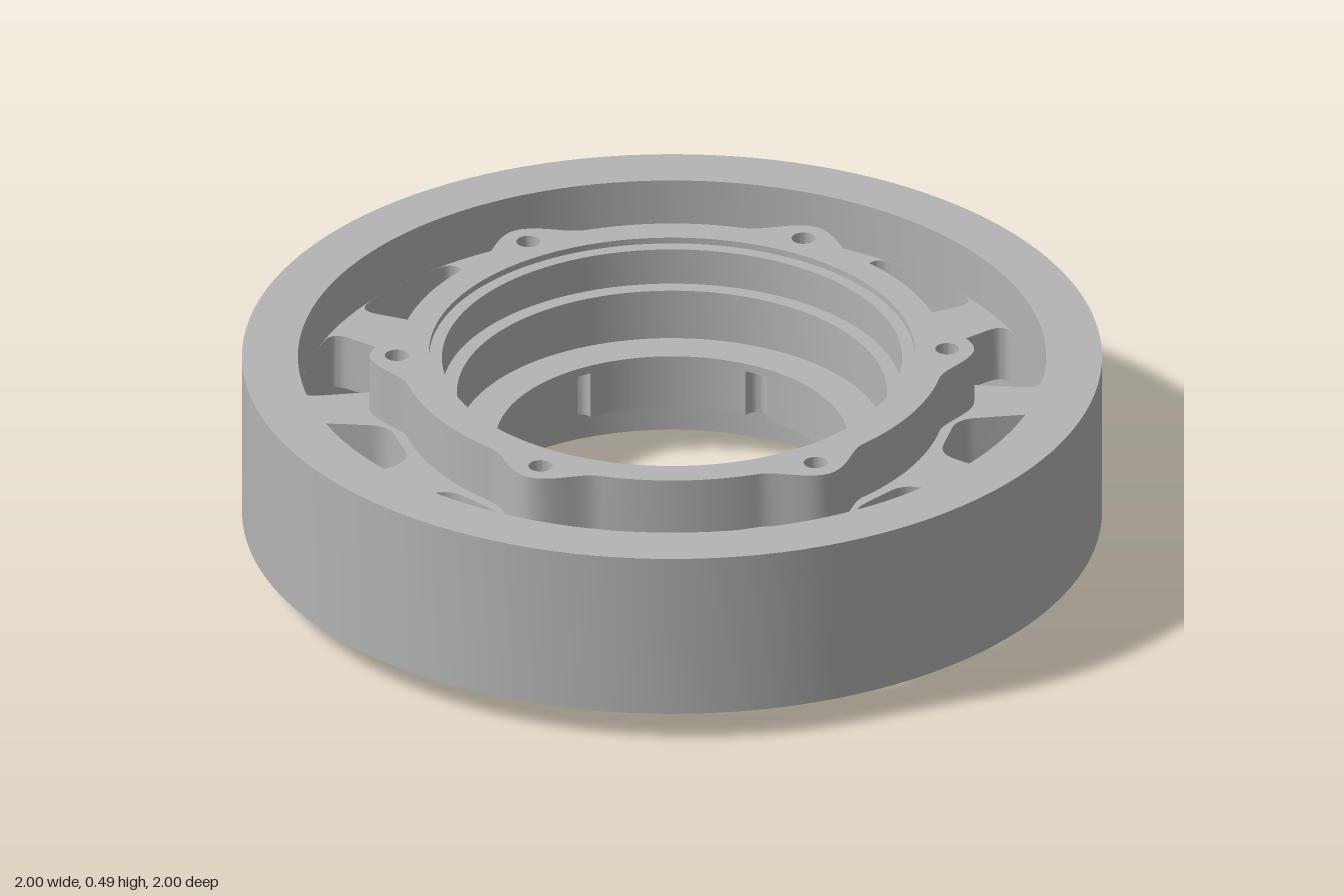
import * as THREE from 'three';
import { toCreasedNormals } from 'three/addons/utils/BufferGeometryUtils.js';

const TAU = Math.PI * 2;
const polar = (r, a) => new THREE.Vector2(r * Math.cos(a), r * Math.sin(a));
const deg = THREE.MathUtils.degToRad;

export function createModel() {
  const group = new THREE.Group();
  const metal = new THREE.MeshStandardMaterial({ color: 0xb4b4b4 });

  const add = (name, geometry) => {
    const mesh = new THREE.Mesh(toCreasedNormals(geometry, 0.5), metal);
    mesh.name = name;
    group.add(mesh);
  };

  // Closed ring from a counter-clockwise [radius, height] profile
  const ring = (name, profile) => {
    const pts = [...profile, profile[0]].map(([r, y]) => new THREE.Vector2(r, y));
    add(name, new THREE.LatheGeometry(pts, 128));
  };

  // Flat plate between two heights
  const plate = (name, outline, holes, y0, y1) => {
    const shape = new THREE.Shape(outline);
    shape.holes = holes.map((h) => new THREE.Path(h));
    const geo = new THREE.ExtrudeGeometry(shape, { depth: y1 - y0, bevelEnabled: false });
    geo.rotateX(-Math.PI / 2).translate(0, y0, 0);
    add(name, geo);
  };

  // Polar outline, with the radius given by a function of the angle
  const loop = (radius, n = 128) =>
    Array.from({ length: n }, (_, i) => polar(radius((i / n) * TAU), (i / n) * TAU));
  const circle = (r, n = 128) => loop(() => r, n);

  // Signed angle to the nearest of the six bolt directions
  const boltAngle = (a) => {
    const step = TAU / 6;
    const d = a - Math.PI / 2;
    return d - Math.round(d / step) * step;
  };

  const boltHoles = Array.from({ length: 6 }, (_, i) => {
    const c = polar(0.64, Math.PI / 2 + (i * TAU) / 6);
    return circle(0.028, 24).map((p) => p.add(c));
  });

  // Polygon with rounded corners; each corner is [point, rounding]
  const rounded = (corners) => {
    const out = [];
    corners.forEach(([p, r], i) => {
      if (!r) { out.push(p); return; }
      const prev = corners[(i + corners.length - 1) % corners.length][0];
      const next = corners[(i + 1) % corners.length][0];
      const toward = (q) => p.clone().add(q.clone().sub(p).setLength(r));
      out.push(...new THREE.QuadraticBezierCurve(toward(prev), p, toward(next)).getPoints(7));
    });
    return out;
  };

  // Twelve windows leave tapering spokes between them
  const windows = Array.from({ length: 12 }, (_, i) => {
    const mid = deg(15 + 30 * i);
    const at = (r, a) => polar(r, mid + deg(a));
    const arc = [5, 2.5, 0, -2.5, -5].map((a) => [at(0.87, a), 0]);
    return rounded([
      [at(0.665, -7.5), 0.045], [at(0.665, 7.5), 0.045],
      [at(0.87, 10.9), 0.05], ...arc, [at(0.87, -10.9), 0.05],
    ]);
  });

  // Outer rim
  ring('rim', [[0.87, 0.07], [1, 0.07], [1, 0.478], [0.87, 0.478]]);

  // Spoked web
  plate('spokeWeb', circle(0.9), [circle(0.57), ...windows, ...boltHoles], 0.215, 0.35);

  // Upper hub collar with six bolt lobes
  const lobed = loop((a) => {
    const t = Math.max(0, 1 - Math.abs(boltAngle(a)) / deg(13));
    return 0.635 + 0.068 * t * t * (3 - 2 * t);
  }, 288);
  plate('hubCollar', lobed, [circle(0.565), ...boltHoles], 0.34, 0.49);

  // Hub sleeve with stepped seats above and below the inner flange
  ring('hubSleeve', [
    [0.565, 0], [0.565, 0.145], [0.575, 0.145], [0.575, 0.475],
    [0.535, 0.475], [0.535, 0.385], [0.5, 0.385], [0.5, 0.26],
    [0.45, 0.26], [0.45, 0.125], [0.5, 0.125], [0.5, 0.09],
    [0.535, 0.09], [0.535, 0],
  ]);

  // Inner flange: a plain upper lip over a bore with six round notches
  ring('flangeLip', [[0.41, 0.24], [0.45, 0.24], [0.45, 0.26], [0.41, 0.26]]);
  const notched = loop((a) => {
    const side = 0.41 * Math.sin(boltAngle(a));
    return 0.41 + Math.sqrt(Math.max(0, 0.027 ** 2 - side ** 2));
  }, 720);
  plate('notchedFlange', circle(0.45), [notched], 0.125, 0.24);

  return group;
}
